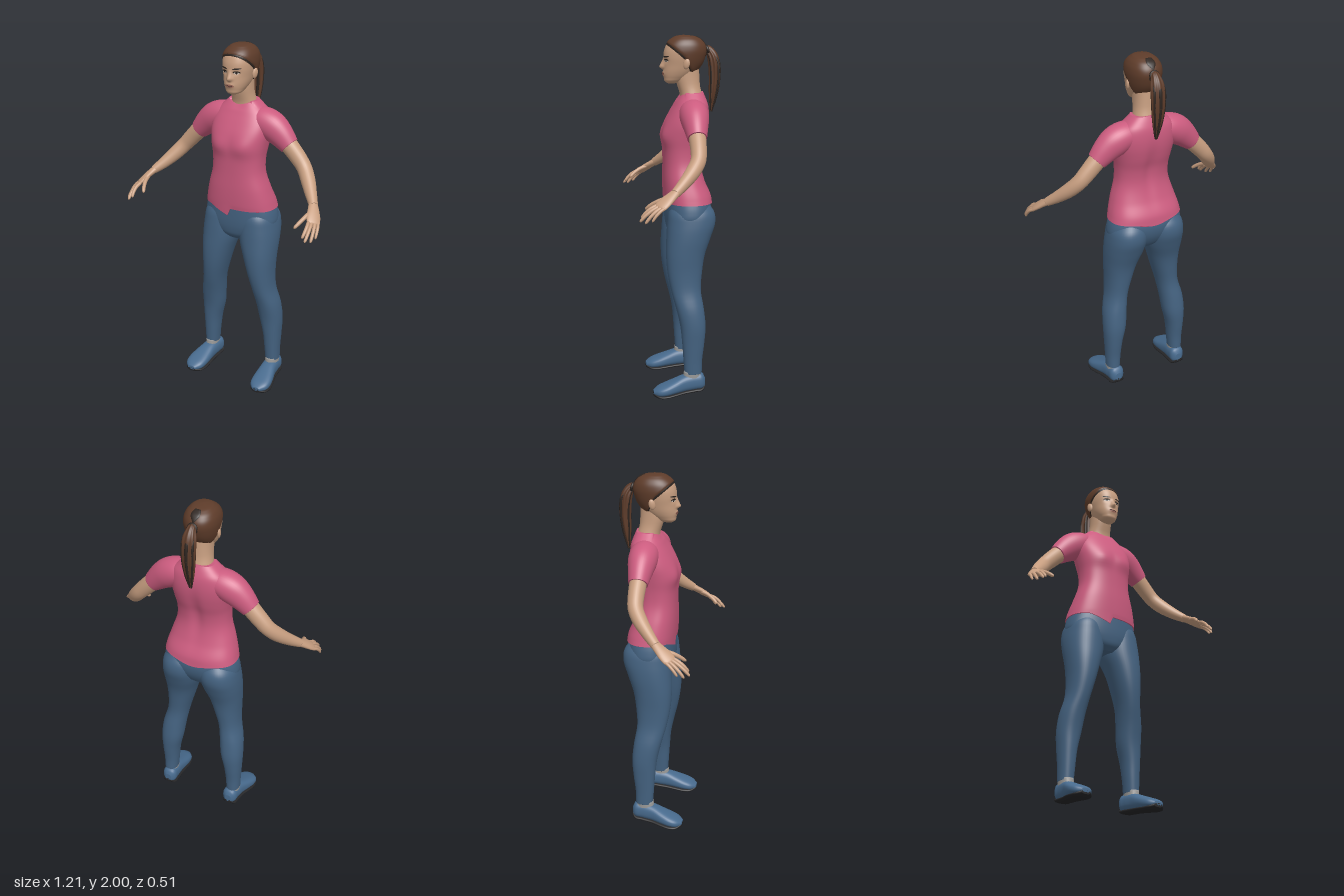
import * as THREE from 'three';

const mat = (name, color, side = THREE.FrontSide) => {
  const m = new THREE.MeshStandardMaterial({ color, side });
  m.name = name;
  return m;
};
const V = (x, y, z) => new THREE.Vector3(x, y, z);
const clamp = THREE.MathUtils.clamp;
const spow = (v, e) => Math.sign(v) * Math.pow(Math.abs(v), e);
const bell = (d, s) => Math.exp(-(d * d) / (s * s));

// Smooth interpolation of table rows keyed by their first column
function spline(table) {
  const f = new THREE.CubicInterpolant(table.map(r => r[0]), table.flat(), table[0].length);
  return t => Array.from(f.evaluate(t));
}
function sample(table, n) {
  const f = spline(table), a = table[0][0], b = table[table.length - 1][0];
  return Array.from({ length: n + 1 }, (_, i) => f(a + (b - a) * (1 - Math.cos(Math.PI * i / n)) / 2));
}

// Skin closed rings of points and cap both ends
function loft(rings) {
  const n = rings[0].length, pos = [], idx = [];
  rings.forEach(r => r.forEach(p => pos.push(p.x, p.y, p.z)));
  for (let i = 0; i < rings.length - 1; i++) {
    for (let j = 0; j < n; j++) {
      const a = i * n + j, b = i * n + (j + 1) % n;
      idx.push(a, a + n, b, b, a + n, b + n);
    }
  }
  [0, rings.length - 1].forEach((k, end) => {
    const c = rings[k].reduce((s, p) => s.add(p), V(0, 0, 0)).divideScalar(n);
    const id = pos.length / 3;
    pos.push(c.x, c.y, c.z);
    for (let j = 0; j < n; j++) {
      const a = k * n + j, b = k * n + (j + 1) % n;
      idx.push(...(end ? [id, b, a] : [id, a, b]));
    }
  });
  const g = new THREE.BufferGeometry();
  g.setAttribute('position', new THREE.Float32BufferAttribute(pos, 3));
  g.setIndex(idx);
  g.computeVertexNormals();
  return g;
}

// Upright form, rows [y, centreX, halfWidth, zFront, zBack]
function body(table, n, seg, e = 0.9, mod = () => {}) {
  return loft(sample(table, n).map(([y, xc, w, f, b]) => Array.from({ length: seg }, (_, j) => {
    const a = j / seg * Math.PI * 2;
    const p = V(xc + Math.max(w, 0.001) * spow(Math.cos(a), e), y, (f + b) / 2 + (f - b) / 2 * spow(Math.sin(a), e));
    mod(p);
    return p;
  })));
}

// Limb along a path, rows [x, y, z, radiusAlongSide, otherRadius]
function tube(rows, n, seg, side = V(0, 0, 1), ridge = 0) {
  const s = sample(rows.map((r, i) => [i, ...r]), n), c = s.map(r => V(r[1], r[2], r[3]));
  return loft(s.map((r, i) => {
    const t = c[Math.min(i + 1, n)].clone().sub(c[Math.max(i - 1, 0)]).normalize();
    const u = side.clone().addScaledVector(t, -t.dot(side)).normalize(), v = u.clone().cross(t);
    return Array.from({ length: seg }, (_, j) => {
      const a = j / seg * Math.PI * 2, k = 1 + ridge * Math.cos(8 * a);
      return c[i].clone().addScaledVector(u, k * Math.max(r[4], 0.001) * Math.cos(a))
        .addScaledVector(v, k * Math.max(r[5], 0.001) * Math.sin(a));
    });
  }));
}

// Shoe form along z, rows [z, centreX, halfWidth, yTop, yBottom]
const shoeForm = rows => loft(sample(rows, 28).map(([z, xc, w, t, b]) => Array.from({ length: 32 }, (_, j) => {
  const a = j / 32 * Math.PI * 2;
  return V(xc + w * spow(Math.sin(a), 0.8), (t + b) / 2 + (t - b) / 2 * spow(Math.cos(a), 0.8), z);
})));

function mirror(g) {
  const m = g.clone().scale(-1, 1, 1), ix = m.index.array;
  for (let i = 0; i < ix.length; i += 3) [ix[i], ix[i + 1]] = [ix[i + 1], ix[i]];
  return m;
}

// Head profile with nose and eye sockets
const HEAD = [[1.738, 0, 0.012, 0.035, 0], [1.748, 0, 0.036, 0.052, -0.03], [1.77, 0, 0.053, 0.059, -0.07],
  [1.8, 0, 0.067, 0.062, -0.11], [1.84, 0, 0.078, 0.06, -0.145], [1.88, 0, 0.086, 0.061, -0.163],
  [1.92, 0, 0.088, 0.056, -0.17], [1.955, 0, 0.079, 0.04, -0.158], [1.98, 0, 0.058, 0.01, -0.13],
  [1.991, 0, 0.035, -0.015, -0.095], [1.995, 0, 0.004, -0.045, -0.053]];
const headRow = spline(HEAD);
function features(x, y) {
  const nose = y > 1.828 ? clamp((1.88 - y) / 0.052, 0, 1) : clamp((y - 1.812) / 0.016, 0, 1);
  return 0.026 * nose * bell(x, 0.008 + 0.006 * nose) - 0.006 * bell(Math.abs(x) - 0.034, 0.018) * bell(y - 1.862, 0.012)
    + 0.006 * bell(x, 0.025) * bell(y - 1.793, 0.012);
}
const shapeFace = p => { if (p.z > 0) p.z += features(p.x, p.y); };
function faceZ(x, y) {
  const [, , w, f, b] = headRow(y), c = Math.pow(Math.min(Math.abs(x) / w, 1), 1 / 0.9);
  return (f + b) / 2 + (f - b) / 2 * Math.pow(1 - c * c, 0.45) + features(x, y);
}
// Thin painted patch that follows the face
function facePatch(cx, cy, rx, ry, lift, tilt = 0) {
  const g = new THREE.CircleGeometry(1, 20).scale(rx, ry, 1).rotateZ(tilt).translate(cx, cy, 0), p = g.attributes.position;
  for (let i = 0; i < p.count; i++) p.setZ(i, faceZ(p.getX(i), p.getY(i)) + lift);
  g.computeVertexNormals();
  return g;
}
// Hair shell: rises from the scalp where inside(p) is positive, sinks where negative
const hairShell = (inside, lift) => body(HEAD, 60, 96, 0.9, p => {
  const out = p.clone().sub(V(0, 1.87, -0.055)).normalize();
  p.addScaledVector(out, clamp(inside(p) * 0.6, -0.012, lift));
});
const hairline = z => z > -0.045 ? 1.88 + (z + 0.045) * 0.85 : Math.max(1.88 + (z + 0.045) * 2, 1.775);

export function createModel() {
  const model = new THREE.Group();
  const skin = mat('skin', 0xc79e80), shirt = mat('shirt pink', 0xcc5c7f), denim = mat('trouser blue', 0x446280);
  const hair = mat('hair brown', 0x5e3c2a), dark = mat('dark brown', 0x2e2520), shoe = mat('shoe blue', 0x486b8e);
  const sole = mat('sole black', 0x262628), sock = mat('sock grey', 0x9b9a98), lip = mat('lip', 0xa06a5c);
  const white = mat('eye white', 0xd2c6bc);
  const add = (name, g, m) => {
    const mesh = new THREE.Mesh(g, m);
    mesh.name = name;
    model.add(mesh);
  };
  const pair = (name, g, m) => { add('left' + name, g, m); add('right' + name, mirror(g), m); };

  // Head, neck and hair
  add('head', body(HEAD, 60, 96, 0.9, shapeFace), skin);
  add('neck', body([[1.62, 0, 0.085, -0.03, -0.16], [1.68, 0, 0.07, -0.03, -0.152], [1.72, 0, 0.062, -0.018, -0.142],
    [1.77, 0, 0.06, -0.005, -0.138], [1.82, 0, 0.06, -0.01, -0.135]], 16, 40), skin);
  add('hairlineEdge', hairShell(p => p.y - hairline(p.z) + 0.009, 0.003), dark);
  add('hair', hairShell(p => p.y - hairline(p.z), 0.006), hair);
  add('crownStreak', hairShell(p => Math.min(0.024 + 0.01 * Math.sin(p.y * 90) - Math.abs(p.x), -0.1 - p.z, p.y - 1.87), 0.009), dark);
  add('ponytail', tube([[0, 1.925, -0.16, 0.018, 0.018], [0, 1.918, -0.19, 0.024, 0.022], [0, 1.87, -0.215, 0.038, 0.03],
    [0, 1.78, -0.224, 0.036, 0.031], [0, 1.68, -0.216, 0.027, 0.023], [0, 1.585, -0.204, 0.004, 0.004]],
  36, 64, V(1, 0, 0), 0.07), hair);
  add('hairTie', new THREE.TorusGeometry(0.021, 0.008, 10, 24).rotateX(0.3).translate(0, 1.92, -0.182), dark);
  [[0, -0.028], [0.026, -0.018], [-0.026, -0.018], [0.02, 0.02], [-0.02, 0.02]].forEach(([x, z], i) =>
    add('darkStrand' + (i + 1), tube([[x * 0.6, 1.915, -0.19 + z * 0.6, 0.006, 0.006], [x, 1.86, -0.217 + z, 0.01, 0.007],
      [x, 1.77, -0.222 + z, 0.01, 0.007], [x * 0.7, 1.67, -0.215 + z * 0.7, 0.007, 0.006],
      [x * 0.2, 1.58, -0.204 + z * 0.2, 0.002, 0.002]], 20, 8, V(1, 0, 0)), dark));

  // Face details
  pair('Ear', new THREE.SphereGeometry(1, 16, 12).scale(0.01, 0.029, 0.018).rotateX(-0.2).rotateY(-0.35).translate(0.087, 1.848, -0.055), skin);
  pair('EyeLine', facePatch(0.036, 1.865, 0.018, 0.0085, 0.002), dark);
  pair('EyeWhite', facePatch(0.036, 1.862, 0.015, 0.0055, 0.003), white);
  pair('Iris', facePatch(0.036, 1.8625, 0.006, 0.0058, 0.004), dark);
  pair('Eyebrow', facePatch(0.038, 1.885, 0.022, 0.0042, 0.002, 0.08), dark);
  add('lips', facePatch(0, 1.792, 0.026, 0.0095, 0.002), lip);
  add('mouthLine', facePatch(0, 1.793, 0.024, 0.0014, 0.003), dark);

  // T-shirt with an uneven hem
  add('shirtBody', body([[1.075, 0, 0.212, 0.06, -0.207], [1.12, 0, 0.205, 0.064, -0.2], [1.2, 0, 0.183, 0.067, -0.166],
    [1.3, 0, 0.154, 0.066, -0.144], [1.38, 0, 0.152, 0.067, -0.15], [1.45, 0, 0.162, 0.07, -0.17],
    [1.52, 0, 0.172, 0.056, -0.184], [1.58, 0, 0.17, 0.027, -0.187], [1.63, 0, 0.15, -0.002, -0.181],
    [1.66, 0, 0.118, -0.018, -0.17], [1.688, 0, 0.086, -0.032, -0.157]], 56, 120, 0.82, p => {
    const front = p.z > -0.05;
    if (front) p.z += 0.012 * bell(Math.abs(p.x) - 0.075, 0.06) * bell(p.y - 1.455, 0.05);
    else p.z += 0.014 * bell(p.x, 0.035) * bell(p.y - 1.38, 0.14);
    if (p.y > 1.64) p.y -= (front ? 0.016 : -0.006) * bell(p.x, 0.06) * (p.y - 1.64) / 0.045;
    const flap = front ? (p.x > -0.14 && p.x < -0.012 ? 0.045 * (p.x + 0.14) / 0.128 : 0) : 0.022 * bell(p.x, 0.09);
    p.y += (0.012 - flap) * clamp((1.11 - p.y) / 0.035, 0, 1);
  }), shirt);
  pair('Sleeve', tube([[0.06, 1.59, -0.088, 0.07, 0.065], [0.13, 1.582, -0.088, 0.079, 0.078], [0.185, 1.557, -0.087, 0.077, 0.083],
    [0.235, 1.52, -0.086, 0.066, 0.073], [0.289, 1.468, -0.085, 0.052, 0.055]], 24, 40), shirt);

  // Arms and hands
  pair('Arm', tube([[0.2, 1.555, -0.087, 0.045, 0.05], [0.285, 1.472, -0.086, 0.046, 0.049], [0.345, 1.41, -0.084, 0.043, 0.046],
    [0.388, 1.362, -0.075, 0.041, 0.042], [0.43, 1.312, -0.04, 0.039, 0.04], [0.475, 1.262, 0.01, 0.032, 0.033],
    [0.518, 1.22, 0.06, 0.025, 0.023]], 36, 28), skin);
  const across = V(0.6, -0.1, -0.78).normalize();
  pair('Palm', tube([[0.51, 1.228, 0.05, 0.024, 0.02], [0.53, 1.205, 0.083, 0.031, 0.018], [0.547, 1.182, 0.115, 0.038, 0.016],
    [0.562, 1.16, 0.143, 0.036, 0.012], [0.566, 1.153, 0.151, 0.028, 0.006]], 18, 28, across), skin);
  const finger = (name, base, tip, r) => {
    const at = k => base.clone().lerp(tip, k).add(V(0.006, 0.008, 0.004).multiplyScalar(4 * k * (1 - k)));
    pair(name, tube([[0, 1], [0.35, 1], [0.7, 0.92], [0.93, 0.75], [1, 0.2]].map(([k, s]) => [...at(k).toArray(), r * s, r * s]), 16, 14, across), skin);
  };
  [['IndexFinger', V(0.546, 1.102, 0.238)], ['MiddleFinger', V(0.566, 1.087, 0.247)], ['RingFinger', V(0.587, 1.081, 0.222)],
    ['LittleFinger', V(0.598, 1.092, 0.188)]].forEach(([name, tip], i) =>
    finger(name, V(0.56, 1.162, 0.139).addScaledVector(across, -0.028 + i * 0.0187), tip, i === 3 ? 0.0085 : 0.0098));
  finger('Thumb', V(0.523, 1.196, 0.108), V(0.484, 1.135, 0.212), 0.0115);

  // Trousers
  add('trouserHips', body([[0.895, 0, 0.07, 0.015, -0.12], [0.92, 0, 0.13, 0.04, -0.15], [0.96, 0, 0.195, 0.052, -0.178],
    [1.0, 0, 0.219, 0.056, -0.195], [1.05, 0, 0.217, 0.056, -0.202], [1.1, 0, 0.204, 0.054, -0.194]], 24, 64, 0.86), denim);
  pair('TrouserLeg', body([[0.128, 0.21, 0.039, -0.03, -0.128], [0.2, 0.208, 0.043, -0.025, -0.13], [0.3, 0.205, 0.051, -0.018, -0.142],
    [0.4, 0.196, 0.064, -0.008, -0.15], [0.5, 0.186, 0.066, 0.014, -0.141], [0.6, 0.166, 0.062, 0.04, -0.127],
    [0.7, 0.15, 0.073, 0.058, -0.135], [0.8, 0.137, 0.09, 0.064, -0.152], [0.9, 0.122, 0.108, 0.06, -0.188],
    [0.98, 0.115, 0.11, 0.054, -0.213], [1.04, 0.112, 0.1, 0.045, -0.206], [1.09, 0.105, 0.07, 0.02, -0.17]], 56, 44), denim);

  // Socks and shoes
  pair('Sock', body([[0.08, 0.21, 0.036, -0.02, -0.128], [0.14, 0.21, 0.037, -0.027, -0.125]], 4, 28), sock);
  const shoeRows = [[-0.147, 0.205, 0.018, 0.095, 0.048], [-0.135, 0.205, 0.036, 0.12, 0.036], [-0.09, 0.207, 0.043, 0.126, 0.029],
    [-0.03, 0.212, 0.046, 0.118, 0.023], [0.03, 0.22, 0.056, 0.095, 0.016], [0.08, 0.225, 0.06, 0.075, 0.01],
    [0.12, 0.226, 0.05, 0.058, 0.01], [0.147, 0.225, 0.024, 0.04, 0.018]];
  pair('Shoe', shoeForm(shoeRows), shoe);
  pair('Sole', shoeForm(shoeRows.map(([z, x, w, , b]) => [z, x, w + 0.001, b + 0.012, b - 0.01])), sole);
  return model;
}
